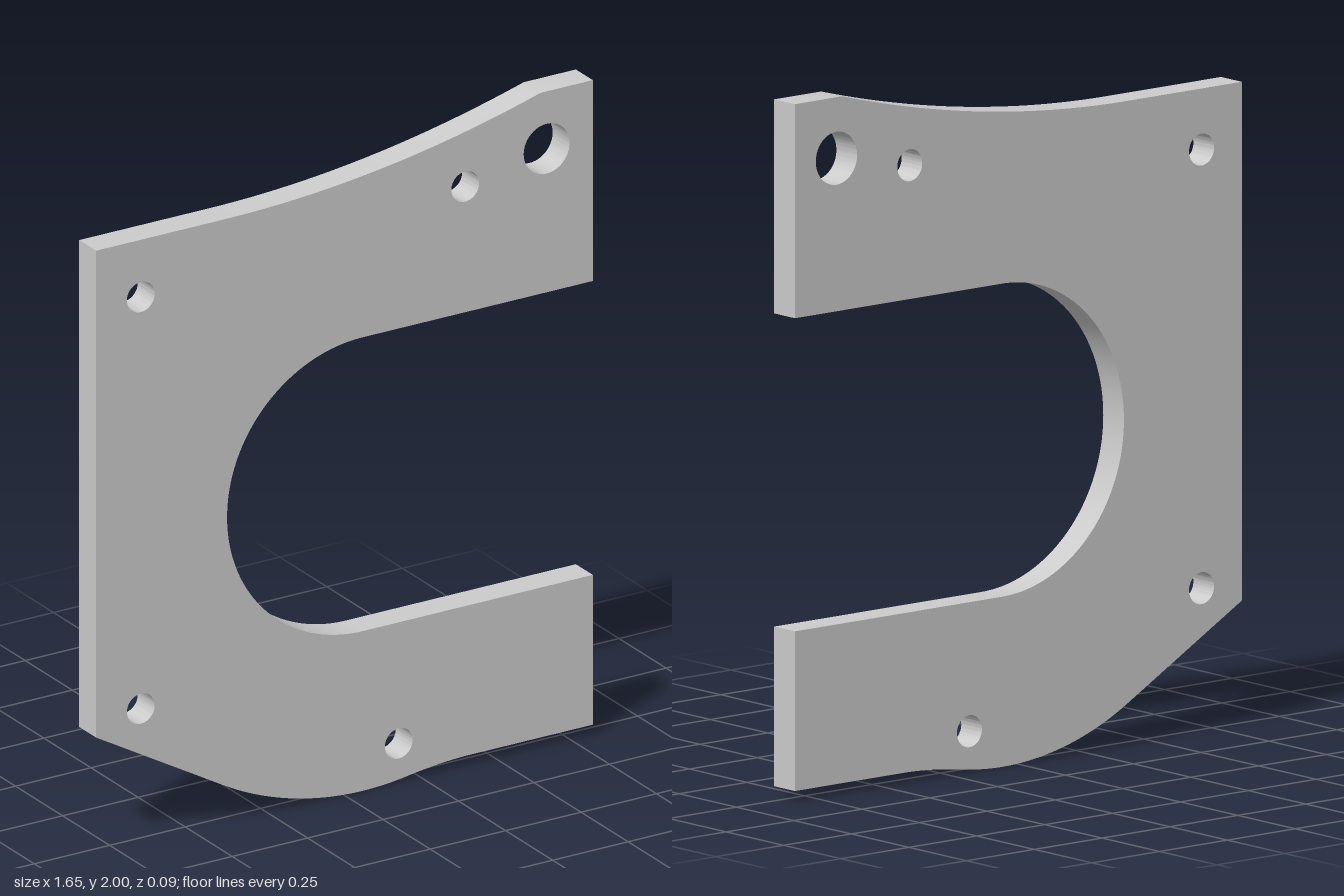
import * as THREE from 'three';
import { toCreasedNormals } from 'three/addons/utils/BufferGeometryUtils.js';

const THICKNESS = 0.09;
const CX = 0.06, CY = 0.937; // shared centre of the slot and the rounded lower edge
const SLOT_R = 0.449, LOWER_R = 0.937;

// x, y, radius of each drilled hole
const HOLES = [
  [-0.675, 1.675, 0.046],
  [-0.675, 0.417, 0.046],
  [0.18, 0.118, 0.046],
  [0.4, 1.77, 0.046],
  [0.67, 1.825, 0.076],
];

export function createModel() {
  const group = new THREE.Group();
  group.name = 'bracket';

  // Outline, counter-clockwise from the upper left corner
  const outline = new THREE.Shape();
  outline.moveTo(-0.823, 1.85);
  outline.lineTo(-0.823, 0.362);
  // Sloped lower corner running into the rounded lower edge
  outline.absarc(CX, CY, LOWER_R, -Math.PI / 2 - 0.518, -Math.PI / 2 + 0.15, false);
  outline.quadraticCurveTo(0.32, 0.03, 0.42, 0.03);
  outline.lineTo(0.823, 0.03);
  // U-shaped slot open to one side
  outline.lineTo(0.823, CY - SLOT_R);
  outline.absarc(CX, CY, SLOT_R, -Math.PI / 2, -Math.PI * 1.5, true);
  outline.lineTo(0.823, CY + SLOT_R);
  // Raised corner and concave upper edge
  outline.lineTo(0.823, 2);
  outline.lineTo(0.65, 2);
  outline.quadraticCurveTo(0.12, 1.85, -0.4, 1.85);
  outline.closePath();

  for (const [x, y, r] of HOLES) {
    outline.holes.push(new THREE.Path().absarc(x, y, r, 0, Math.PI * 2, true));
  }

  const geometry = new THREE.ExtrudeGeometry(outline, {
    depth: THICKNESS, bevelEnabled: false, curveSegments: 40,
  });
  geometry.translate(0, 0, -THICKNESS / 2);

  const plate = new THREE.Mesh(
    toCreasedNormals(geometry, 0.35),
    new THREE.MeshStandardMaterial({ color: 0xcccccc }),
  );
  plate.name = 'plate';
  group.add(plate);
  return group;
}
